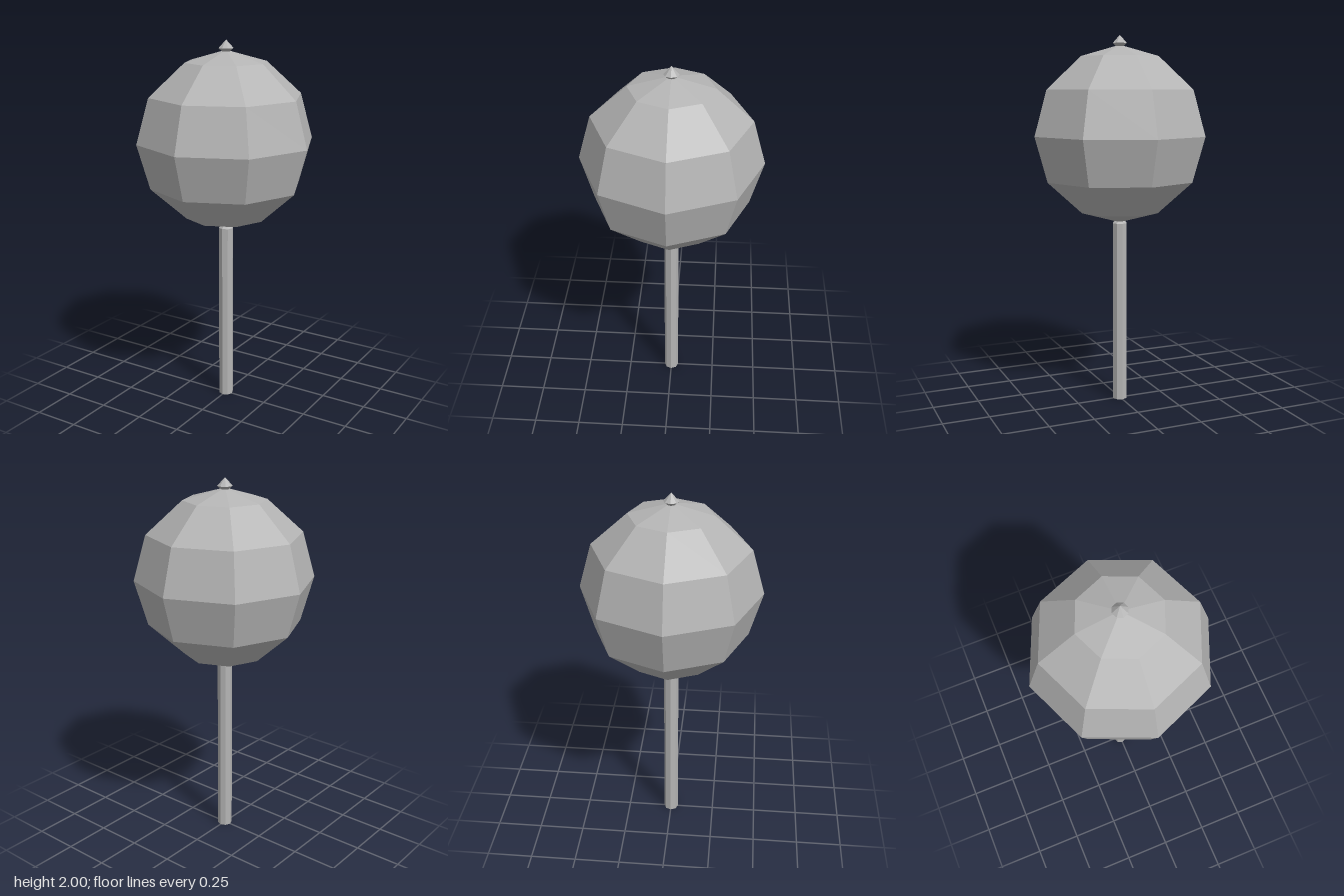
import * as THREE from 'three';

const SIDES = 8;

export function createModel() {
  const group = new THREE.Group();
  const grey = new THREE.MeshStandardMaterial({ color: 0xb4b4b4 });
  grey.name = 'plain grey';

  // Eight-sided turned part with hard facets, from [radius, height] pairs
  function turned(name, profile) {
    const points = profile.map(([r, y]) => new THREE.Vector2(r, y));
    const geometry = new THREE.LatheGeometry(points, SIDES).toNonIndexed();
    geometry.computeVertexNormals();
    const mesh = new THREE.Mesh(geometry, grey);
    mesh.name = name;
    group.add(mesh);
  }

  // Straight stick, closed at the foot
  turned('stick', [[0, 0], [0.04, 0], [0.04, 0.995], [0.025, 1.01]]);

  // Faceted ball
  turned('ball', [
    [0, 1.0], [0.03, 1.007], [0.219, 1.06], [0.41, 1.232], [0.478, 1.473],
    [0.41, 1.714], [0.219, 1.887], [0.03, 1.94], [0, 1.944],
  ]);

  // Small pointed finial on top
  turned('finial', [[0.015, 1.935], [0.025, 1.944], [0.04, 1.957], [0, 2]]);

  return group;
}
